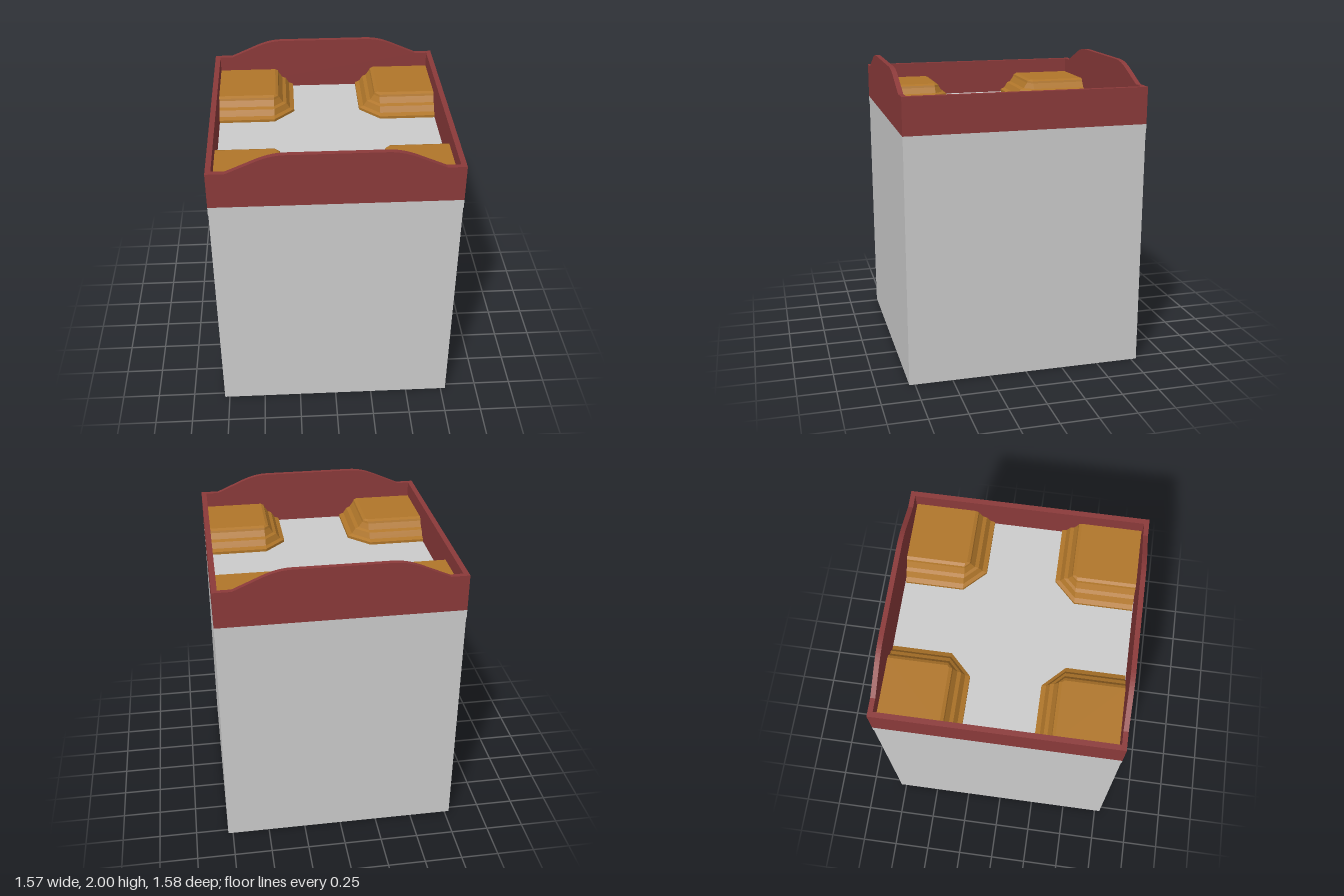
import * as THREE from 'three';

const grey = new THREE.MeshStandardMaterial({ color: 0xcccccc, flatShading: true });
const red = new THREE.MeshStandardMaterial({ color: 0x8b3a3a, flatShading: true });
const gold = new THREE.MeshStandardMaterial({ color: 0xb0762a, flatShading: true });

const W = 0.785, D = 0.79;            // half width and half depth
const FLOOR = 1.64, RIM = 1.88, TOP = 2;

function add(group, name, geometry, material, x = 0, y = 0, z = 0) {
  const mesh = new THREE.Mesh(geometry, material);
  mesh.name = name;
  mesh.position.set(x, y, z);
  group.add(mesh);
  return mesh;
}

// Stepped corner block: chamfered outlines stacked by [inner edge, height]
function cornerBlockGeometry() {
  const outer = 0.753, cut = 0.37;
  const layers = [
    [0.23, FLOOR], [0.23, 1.658], [0.26, 1.67], [0.284, 1.708],
    [0.308, 1.718], [0.333, 1.756], [0.338, 1.77], [0.358, 1.78],
  ];
  const rings = layers.map(([o, y]) =>
    [[outer, o], [cut, o], [o, cut], [o, outer], [outer, outer]]
      .map(([x, z]) => [x, y, z]));
  const pos = [];
  const n = 5;
  for (let i = 0; i < rings.length - 1; i++) {
    for (let j = 0; j < n; j++) {
      const k = (j + 1) % n;
      const a = rings[i][j], b = rings[i][k], c = rings[i + 1][k], d = rings[i + 1][j];
      pos.push(...a, ...b, ...c, ...a, ...c, ...d);
    }
  }
  const cap = rings[rings.length - 1];
  for (let j = 1; j < n - 1; j++) pos.push(...cap[0], ...cap[j + 1], ...cap[j]);
  const g = new THREE.BufferGeometry();
  g.setAttribute('position', new THREE.Float32BufferAttribute(pos, 3));
  // Outlines run front-to-back, so make every face point outward
  const p = g.attributes.position;
  const centre = new THREE.Vector3(0.56, 1.6, 0.56);
  const [a, b, c] = [0, 1, 2].map(() => new THREE.Vector3());
  for (let i = 0; i < p.count; i += 3) {
    [a, b, c].forEach((v, j) => v.fromBufferAttribute(p, i + j));
    const normal = b.clone().sub(a).cross(c.clone().sub(a));
    if (normal.dot(a.clone().sub(centre)) < 0) {
      p.setXYZ(i + 1, c.x, c.y, c.z);
      p.setXYZ(i + 2, b.x, b.y, b.z);
    }
  }
  g.computeVertexNormals();
  return g;
}

// Parapet with a raised, softly curved middle
function parapetGeometry(thickness) {
  const s = new THREE.Shape();
  s.moveTo(-W, FLOOR);
  s.lineTo(W, FLOOR);
  s.lineTo(W, RIM);
  s.lineTo(0.665, RIM);
  s.lineTo(0.51, 1.948);
  s.bezierCurveTo(0.44, 1.98, 0.38, TOP, 0.3, TOP);
  s.lineTo(-0.3, TOP);
  s.bezierCurveTo(-0.38, TOP, -0.44, 1.98, -0.51, 1.948);
  s.lineTo(-0.665, RIM);
  s.lineTo(-W, RIM);
  s.closePath();
  return new THREE.ExtrudeGeometry(s, { depth: thickness, bevelEnabled: false, curveSegments: 8 });
}

export function createModel() {
  const model = new THREE.Group();
  model.name = 'building';

  // Main block and roof slab
  add(model, 'body', new THREE.BoxGeometry(2 * W - 0.005, 1.58, 2 * D - 0.005), grey, 0, 0.79, 0);
  add(model, 'roofSlab', new THREE.BoxGeometry(2 * W, 0.06, 2 * D), grey, 0, 1.61, 0);

  // Front and back parapets
  const t = 0.032;
  const parapet = parapetGeometry(t);
  add(model, 'frontParapet', parapet, red, 0, 0, D - t);
  add(model, 'backParapet', parapet, red, 0, 0, -D);

  // Low side walls between them
  const side = new THREE.BoxGeometry(0.035, RIM - FLOOR, 2 * (D - t));
  for (const s of [1, -1]) {
    add(model, s > 0 ? 'leftWall' : 'rightWall', side, red,
      s * (W - 0.0175), (RIM + FLOOR) / 2, 0);
  }

  // Four stepped blocks in the roof corners
  const block = cornerBlockGeometry();
  for (let i = 0; i < 4; i++) {
    add(model, 'cornerBlock' + (i + 1), block, gold).rotation.y = i * Math.PI / 2;
  }
  return model;
}
